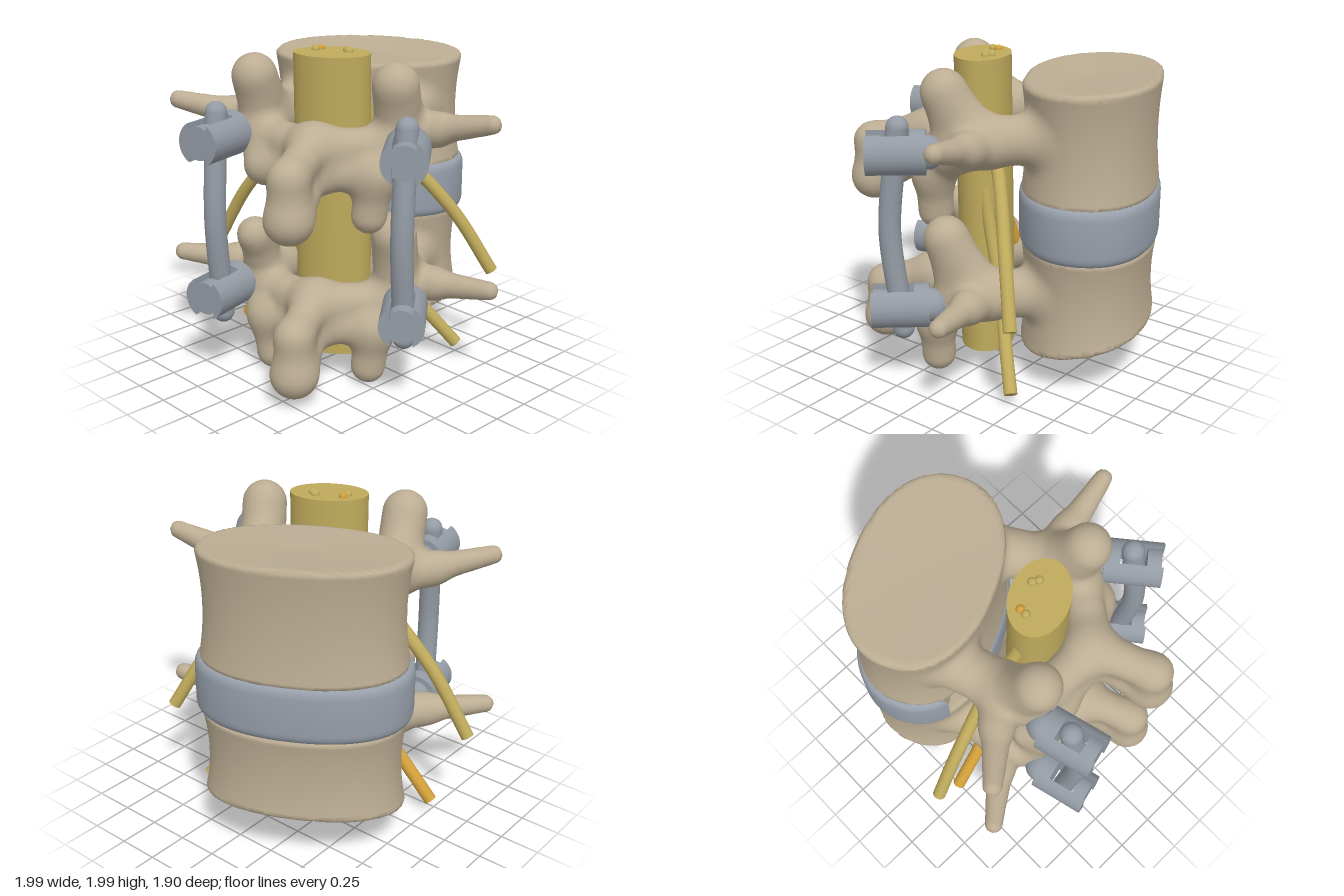
import * as THREE from 'three';
import { toCreasedNormals } from 'three/addons/utils/BufferGeometryUtils.js';

const V = (x, y, z) => new THREE.Vector3(x, y, z);
const mat = (name, color) => Object.assign(new THREE.MeshStandardMaterial({ color }), { name });
const bone = mat('bone', 0xbcad93);
const metal = mat('metal', 0x949ba4);
const discGrey = mat('disc grey', 0x979faa);
const nerve = mat('nerve yellow', 0xbfaa5c);
const irritated = mat('irritated nerve orange', 0xd2a03a);

const BODY_Z = -0.537, BODY_A = 0.61, BODY_B = 0.415, POWER = 2.2;

function add(parent, name, geometry, material) {
  const mesh = new THREE.Mesh(geometry, material);
  mesh.name = name;
  parent.add(mesh);
  return mesh;
}

// Meshes the zero level of a distance field with one vertex per crossed cell
function surfaceNet(field, min, max, step) {
  const n = [0, 1, 2].map(i => Math.ceil((max[i] - min[i]) / step) + 1);
  const id = (i, j, k) => i + n[0] * (j + n[1] * k);
  const at = p => p.map((v, i) => min[i] + v * step);
  const values = new Float32Array(n[0] * n[1] * n[2]);
  const cellVertex = new Int32Array(values.length).fill(-1);
  const pos = [], nor = [], index = [];
  const each = (m, fn) => {
    for (let k = 0; k < n[2] - m; k++) for (let j = 0; j < n[1] - m; j++) for (let i = 0; i < n[0] - m; i++) fn(i, j, k);
  };
  const gradient = p => [0, 1, 2].map(a => {
    const hi = [...p], lo = [...p];
    hi[a] += 0.004; lo[a] -= 0.004;
    return (field(...hi) - field(...lo)) / 0.008;
  });
  each(0, (i, j, k) => { values[id(i, j, k)] = field(...at([i, j, k])); });
  each(1, (i, j, k) => {
    const sum = [0, 0, 0];
    let count = 0;
    for (let c = 0; c < 8; c++) for (let a = 0; a < 3; a++) {
      if (c >> a & 1) continue;
      const p = [i + (c & 1), j + (c >> 1 & 1), k + (c >> 2)], q = [...p];
      q[a]++;
      const d0 = values[id(...p)], d1 = values[id(...q)];
      if ((d0 < 0) === (d1 < 0)) continue;
      p[a] += d0 / (d0 - d1);
      p.forEach((v, b) => { sum[b] += v; });
      count++;
    }
    if (!count) return;
    let p = at(sum.map(v => v / count));
    const g = gradient(p), d = field(...p), len2 = Math.max(0.3, g[0] ** 2 + g[1] ** 2 + g[2] ** 2);
    p = p.map((v, a) => v - THREE.MathUtils.clamp(d * g[a] / len2, -step / 2, step / 2));
    cellVertex[id(i, j, k)] = pos.length / 3;
    pos.push(...p);
    nor.push(...V(...gradient(p)).normalize().toArray());
  });
  each(1, (i, j, k) => {
    for (let a = 0; a < 3; a++) {
      const p = [i, j, k], q = [...p], b = (a + 1) % 3, c = (a + 2) % 3;
      q[a]++;
      const inside = values[id(...p)] < 0;
      if (inside === (values[id(...q)] < 0) || !p[b] || !p[c]) continue;
      const cell = (db, dc) => { const r = [...p]; r[b] -= db; r[c] -= dc; return cellVertex[id(...r)]; };
      const f = [cell(1, 1), cell(0, 1), cell(0, 0), cell(1, 0)];
      if (!inside) f.reverse();
      index.push(f[0], f[1], f[2], f[0], f[2], f[3]);
    }
  });
  const geo = new THREE.BufferGeometry();
  geo.setAttribute('position', new THREE.Float32BufferAttribute(pos, 3));
  geo.setAttribute('normal', new THREE.Float32BufferAttribute(nor, 3));
  geo.setIndex(index);
  return geo;
}

// Distance to a tapered capsule between [x, y, z, radius] ends
function capsule(x, y, z, [a, b]) {
  const dx = b[0] - a[0], dy = b[1] - a[1], dz = b[2] - a[2];
  const t = Math.min(1, Math.max(0, ((x - a[0]) * dx + (y - a[1]) * dy + (z - a[2]) * dz) / (dx * dx + dy * dy + dz * dz)));
  return Math.hypot(x - a[0] - t * dx, y - a[1] - t * dy, z - a[2] - t * dz) - a[3] - t * (b[3] - a[3]);
}

function smoothMin(a, b, k) {
  const h = Math.max(k - Math.abs(a - b), 0) / k;
  return Math.min(a, b) - h * h * k / 4;
}

// Vertebra: waisted body blended with the limbs of its arch
function vertebra({ shift, top, bottom, superior, inferior, wingTip, spineZ, yMin, yMax }) {
  const limbs = [
    [[0, 1.49, 0.43, 0.12], [0, 1.39, spineZ, 0.1]],            // rear spine, upper edge
    [[0, 1.34, 0.47, 0.1], [0, 1.16, spineZ, 0.125]],           // rear spine, lower edge
    [[0, 1.39, spineZ, 0.1], [0, 1.16, spineZ, 0.125]],         // rear spine, tip
  ];
  [-1, 1].forEach((s, i) => {
    const [ridge, peak] = superior[i];
    const arch = [
      [[0.36, 1.56, -0.3, 0.15], [0.42, 1.54, 0.1, 0.14]],      // pedicle
      [[0.42, 1.52, 0.04, 0.13], [0.63, 1.55, 0.1, 0.088]],     // side wing
      [[0.63, 1.55, 0.1, 0.088], wingTip],
      [[0.42, 1.5, 0.2, 0.13], peak],                           // upper joint horn
      [ridge, peak],
      [[0.42, 1.5, 0.22, 0.12], [0.34, 1.32, 0.36, 0.11]],
      [[0.4, 1.47, 0.25, 0.11], [0, 1.46, 0.45, 0.125]],        // lamina
      [[0.34, 1.32, 0.36, 0.1], [0, 1.32, 0.46, 0.1]],
    ];
    if (inferior[i]) arch.push([[0.34, 1.32, 0.36, 0.11], [0.31, 1.07, 0.36, 0.105]]); // lower joint horn
    limbs.push(...arch.map(pair => pair.map(([x, y, z, r]) => [s * x, y, z, r])));
  });
  const moved = limbs.map(pair => pair.map(([x, y, z, r]) => [x, y + shift, z, r]));
  const field = (x, y, z) => {
    const w = z - BODY_Z, hi = top(w), lo = bottom(w);
    const t = Math.min(1, Math.abs(2 * y - hi - lo) / (hi - lo)), waist = 1 - 0.06 * (1 - t * t);
    const f = (Math.abs(x / BODY_A / waist) ** POWER + Math.abs(w / BODY_B / waist) ** POWER) ** (1 / POWER);
    const dish = 0.025 * Math.max(0, 1 - f);
    const r = 0.035, q1 = (f - 1) * 0.42 + r, q2 = Math.max(y - hi + dish, lo + dish - y) + r;
    let d = Math.min(Math.max(q1, q2), 0) + Math.hypot(Math.max(q1, 0), Math.max(q2, 0)) - r;
    for (const limb of moved) d = smoothMin(d, capsule(x, y, z, limb), 0.08);
    return d;
  };
  return surfaceNet(field, [-1.12, yMin, -1.05], [1.12, yMax, 1.02], 0.028);
}

// Disc outline with a notch at the back right where the cage enters
function discGeometry() {
  const pts = [];
  for (let i = 0; i < 120; i++) {
    const a = i / 120 * Math.PI * 2, c = Math.cos(a), s = Math.sin(a), e = 2 / POWER;
    const x = 0.635 * Math.sign(c) * Math.abs(c) ** e;
    let z = 0.425 * Math.sign(s) * Math.abs(s) ** e;
    if (z > 0 && x > -0.5 && x < -0.12) z = 0.06;
    pts.push(new THREE.Vector2(x, -z));
  }
  const geo = new THREE.ExtrudeGeometry(new THREE.Shape(pts), {
    depth: 0.22, bevelThickness: 0.06, bevelSize: 0.035, bevelOffset: -0.035, bevelSegments: 4,
  });
  return toCreasedNormals(geo.rotateX(-Math.PI / 2).translate(0, 0.94, BODY_Z), 0.7);
}

// Nerve root: tube with cut end
function nerveRoot(parent, name, side, points, material) {
  const curve = new THREE.CatmullRomCurve3(points.map(([x, y, z]) => V(side * x, y, z)));
  add(parent, name, new THREE.TubeGeometry(curve, 32, 0.04, 14), material);
  const end = add(parent, name + 'End', new THREE.CircleGeometry(0.04, 14), material);
  end.position.copy(curve.getPoint(1));
  end.quaternion.setFromUnitVectors(V(0, 0, 1), curve.getTangent(1));
}

// Pedicle screw: slotted head around the rod, locking cap and shank, axis along +z
function pedicleScrew() {
  const screw = new THREE.Group();
  screw.name = 'pedicleScrew';
  const barrel = (name, r, z0, z1, r2 = r) =>
    add(screw, name, new THREE.CylinderGeometry(r, r2, z1 - z0, 32).rotateX(Math.PI / 2).translate(0, 0, (z0 + z1) / 2), metal);
  barrel('headBase', 0.133, -0.17, -0.08);
  barrel('lockingCap', 0.1, 0.08, 0.165);
  barrel('shank', 0.06, -0.75, -0.15, 0.04);
  add(screw, 'ballJoint', new THREE.SphereGeometry(0.1, 24, 16).translate(0, 0, -0.18), metal);
  const half = Math.acos(0.066 / 0.133);
  for (const turn of [0, Math.PI]) {
    const shape = new THREE.Shape().absarc(0, 0, 0.133, turn - half, turn + half, false);
    const cheek = new THREE.ExtrudeGeometry(shape, { depth: 0.26, bevelEnabled: false, curveSegments: 20 });
    add(screw, 'headCheek', toCreasedNormals(cheek.translate(0, 0, -0.085), 0.6), metal);
  }
  return screw;
}

export function createModel() {
  const model = new THREE.Group();
  model.name = 'spineSegment';
  const spine = new THREE.Group();
  spine.name = 'turnedSpine';
  spine.rotation.y = 0.47;
  spine.position.set(-0.036, 0, 0.018);
  model.add(spine);

  // Upper joint horns: a ridge leaning back to a peak, cut short on the lower right
  const horn = [[0.42, 1.6, 0.08, 0.12], [0.435, 1.83, 0.27, 0.115]];
  const lowHorn = [[0.42, 1.62, 0.08, 0.12], [0.435, 1.9, 0.27, 0.115]];
  const cutHorn = [[0.42, 1.78, 0.2, 0.09], [0.42, 1.83, 0.36, 0.088]];
  add(spine, 'upperVertebra', vertebra({
    shift: 0, top: w => 1.88 - 0.05 * w, bottom: w => 1.195 - 0.03 * w,
    superior: [horn, horn], inferior: [false, true], wingTip: [0.98, 1.63, 0.2, 0.055], spineZ: 0.83, yMin: 0.92, yMax: 2.03,
  }), bone);
  add(spine, 'lowerVertebra', vertebra({
    shift: -0.96, top: w => 0.9 + 0.03 * w, bottom: w => 0.28 - 0.2 * w,
    superior: [cutHorn, lowHorn], inferior: [true, true], wingTip: [1, 1.585, 0.19, 0.055], spineZ: 0.785, yMin: -0.06, yMax: 1.12,
  }), bone);

  // Disc, and the cage with its bone graft in the notch
  add(spine, 'disc', discGeometry(), discGrey);
  add(spine, 'cage', new THREE.BoxGeometry(0.22, 0.24, 0.2).translate(-0.28, 1.04, -0.4), metal);
  add(spine, 'boneGraft', new THREE.BoxGeometry(0.07, 0.28, 0.18).translate(-0.44, 1.04, -0.39), bone);

  // Nerve sac with rootlets standing out of its top
  const sac = add(spine, 'nerveSac', new THREE.CylinderGeometry(1, 1, 1.87, 48), nerve);
  sac.scale.set(0.235, 1, 0.17);
  sac.position.set(0, 1.035, 0.115);
  sac.rotation.x = 0.015;
  [[-0.1, 0.11], [-0.1, 0.15], [0.055, 0.04], [0.09, 0.06]].forEach(([x, z], i) => {
    const tip = add(model, 'rootlet', new THREE.CapsuleGeometry(0.026, 0.05, 6, 14), i ? nerve : irritated);
    tip.position.set(x, 1.948, z);
  });

  for (const side of [-1, 1]) {
    nerveRoot(spine, 'upperNerveRoot', side,
      [[0.17, 1.72, 0.1], [0.25, 1.5, 0.04], [0.37, 1.36, -0.03], [0.7, 0.98, -0.13], [0.93, 0.6, -0.2]], nerve);
    nerveRoot(spine, 'lowerNerveRoot', side,
      [[0.18, 1.28, 0.1], [0.23, 0.92, 0.04], [0.35, 0.55, -0.05], [0.52, 0.34, -0.1], [0.725, 0.09, -0.17]],
      side < 0 ? irritated : nerve);

    // Rod with rounded ends, bowed backwards
    const x = side * 0.575;
    const path = new THREE.CatmullRomCurve3([V(x, 0.4, 0.51), V(x, 0.58, 0.53), V(x, 1.02, 0.575), V(x, 1.48, 0.53), V(x, 1.65, 0.51)]);
    add(spine, 'rod', new THREE.TubeGeometry(path, 32, 0.066, 20), metal);
    for (const t of [0, 1]) {
      add(spine, 'rodEnd', new THREE.SphereGeometry(0.066, 20, 14), metal).position.copy(path.getPoint(t));
    }
    for (const y of [0.545, 1.5]) {
      const screw = pedicleScrew();
      screw.position.set(x, y, 0.52);
      screw.rotation.y = side * 0.22;
      spine.add(screw);
    }
  }
  return model;
}
